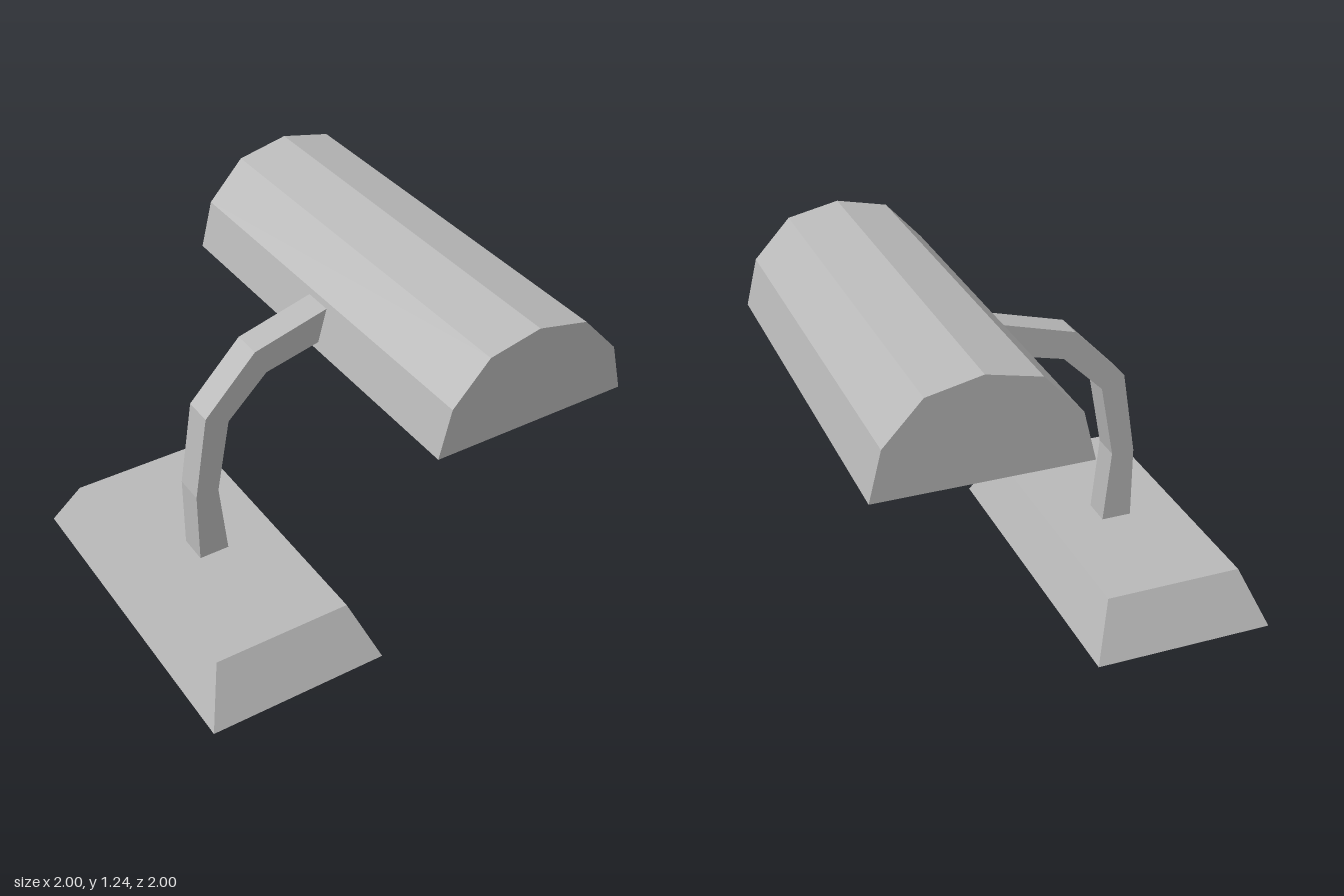
import * as THREE from 'three';

const grey = new THREE.MeshStandardMaterial({ color: 0xb8b8b8, flatShading: true, side: THREE.DoubleSide });
grey.name = 'lamp grey';

// Extrudes a side profile of [z, y] points across x, centred on x = 0
function sideExtrusion(name, profile, width) {
  const shape = new THREE.Shape(profile.map(([z, y]) => new THREE.Vector2(-z, y)));
  const geometry = new THREE.ExtrudeGeometry(shape, { depth: width, bevelEnabled: false });
  geometry.translate(0, 0, -width / 2);
  geometry.rotateY(Math.PI / 2);
  const mesh = new THREE.Mesh(geometry, grey);
  mesh.name = name;
  return mesh;
}

// Hollow sloped foot: a box narrowed at the top, with its bottom face removed
function makeBase() {
  const height = 0.19;
  const geometry = new THREE.BoxGeometry(1.244, height, 0.65);
  const p = geometry.attributes.position;
  for (let i = 0; i < p.count; i++) {
    if (p.getY(i) > 0) {
      p.setX(i, Math.sign(p.getX(i)) * 0.516);
      p.setZ(i, Math.sign(p.getZ(i)) * 0.248);
    }
  }
  const index = Array.from(geometry.index.array);
  index.splice(18, 6);
  geometry.setIndex(index);
  geometry.clearGroups();
  geometry.computeVertexNormals();
  geometry.translate(0, height / 2, 0.46);
  const mesh = new THREE.Mesh(geometry, grey);
  mesh.name = 'base';
  return mesh;
}

export function createModel() {
  const lamp = new THREE.Group();
  lamp.name = 'deskLamp';

  // Curved arm: outer edge upwards, inner edge back down
  const arm = sideExtrusion('arm', [
    [0.515, 0.185], [0.516, 0.46], [0.466, 0.77], [0.275, 0.967], [0.002, 1.04],
    [0.034, 0.92], [0.234, 0.873], [0.382, 0.73], [0.432, 0.46], [0.404, 0.185],
  ], 0.106);

  // Half-barrel shade: mirrored arch closed along the bottom
  const half = [[0.355, 0.89], [0.312, 1.06], [0.182, 1.2]];
  const arch = [...half, [0, 1.24], ...half.map(([z, y]) => [-z, y]).reverse()];
  const shade = sideExtrusion('shade', arch.map(([z, y]) => [z - 0.317, y]), 1.485);

  lamp.add(makeBase(), arm, shade);
  lamp.children.forEach((part) => { part.position.x = -0.004; });

  // The lamp stands turned an eighth of a circle
  lamp.rotation.y = -Math.PI / 4;
  const model = new THREE.Group();
  model.name = 'model';
  model.add(lamp);
  return model;
}
